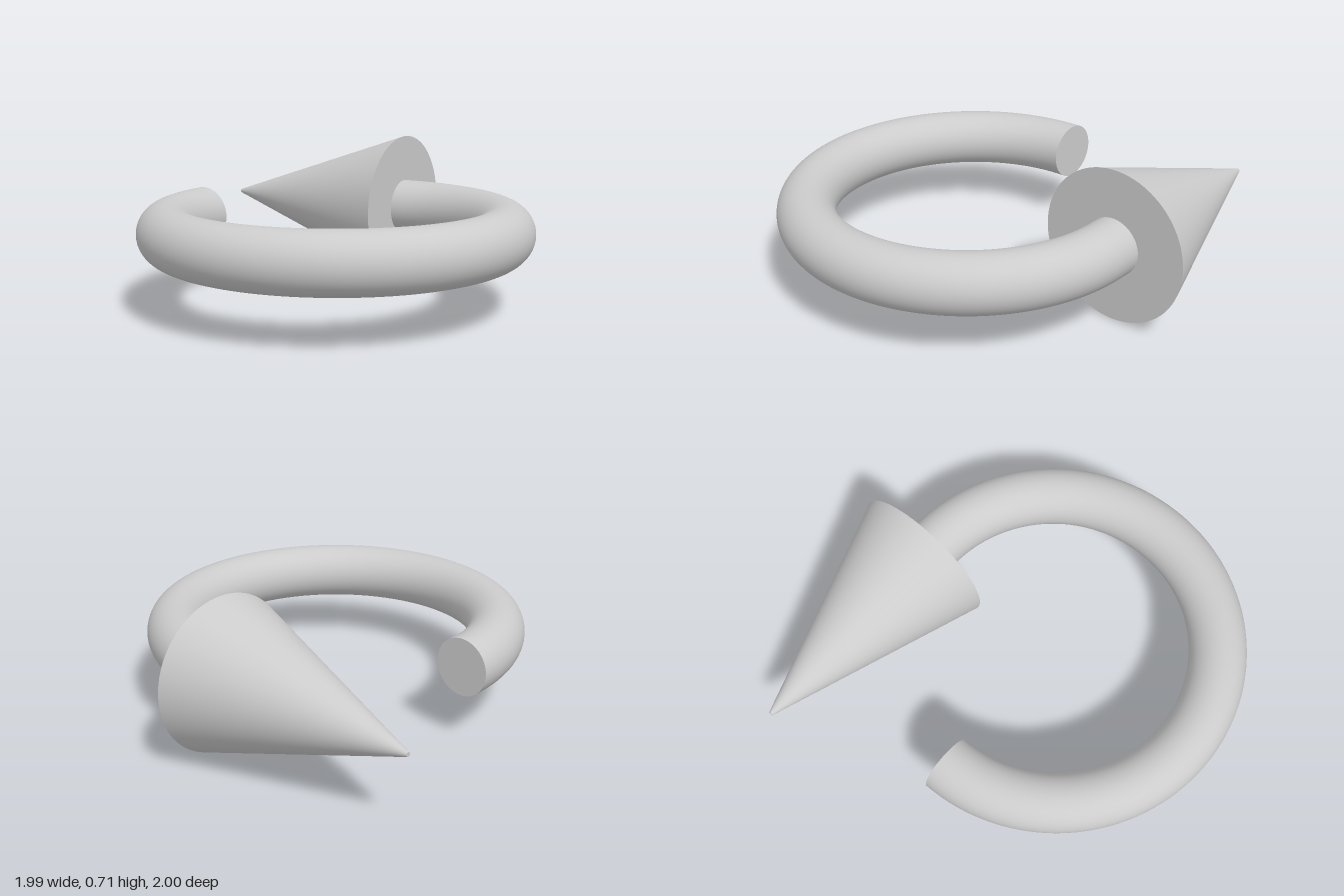
import * as THREE from 'three';

export function createModel() {
  const group = new THREE.Group();
  const material = new THREE.MeshStandardMaterial({ color: 0xcccccc });
  const axisY = 0.358, cx = 0.102, cz = 0.112; // ring centre
  const ringR = 0.755, tubeR = 0.133;
  const coneBaseX = 0.032, coneTipX = -1, coneR = 0.356;

  const add = (name, geometry, x, z) => {
    const mesh = new THREE.Mesh(geometry, material);
    mesh.name = name;
    mesh.position.set(x, axisY, z);
    group.add(mesh);
  };

  // Three-quarter ring lying flat, from the back round the left and front
  const ring = new THREE.TorusGeometry(ringR, tubeR, 48, 144, Math.PI * 1.5);
  ring.rotateZ(-Math.PI / 2).rotateX(Math.PI / 2);
  add('ringShaft', ring, cx, cz);

  // Flat cap on the open end, facing the back
  add('shaftEndCap', new THREE.CircleGeometry(tubeR, 48).rotateY(Math.PI), cx - ringR, cz);

  // Short straight run joining the ring to the cone
  const neckLength = cx - coneBaseX;
  const neck = new THREE.CylinderGeometry(tubeR, tubeR, neckLength, 48, 1, true).rotateZ(Math.PI / 2);
  add('shaftNeck', neck, coneBaseX + neckLength / 2, cz - ringR);

  // Arrowhead cone with a slightly blunt tip pointing to -x
  const head = new THREE.CylinderGeometry(0.01, coneR, coneBaseX - coneTipX, 96).rotateZ(Math.PI / 2);
  add('arrowHead', head, (coneBaseX + coneTipX) / 2, cz - ringR);

  return group;
}
